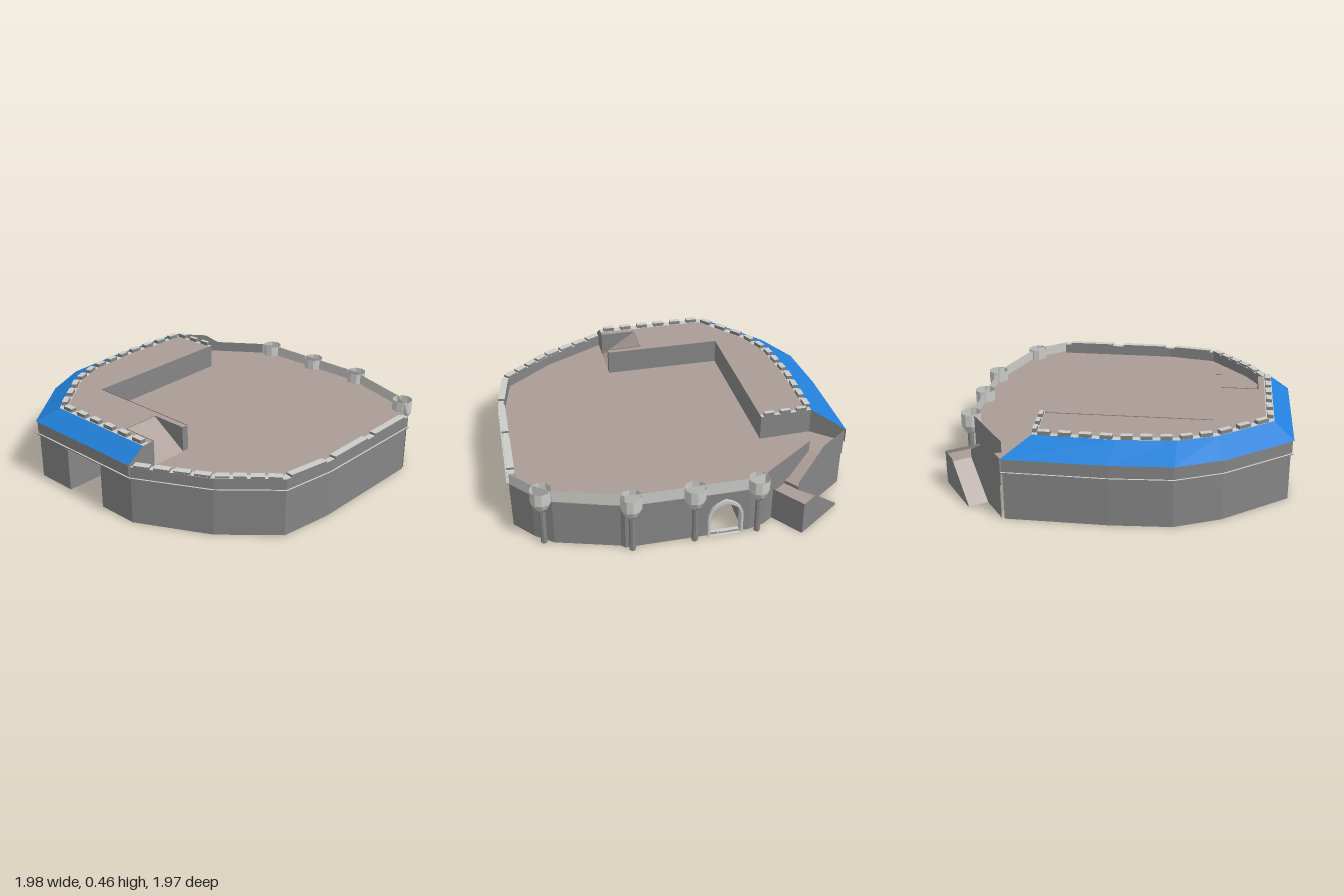
import * as THREE from 'three';

const mat = (name, color) => {
  const m = new THREE.MeshStandardMaterial({ color, side: THREE.DoubleSide });
  m.name = name;
  return m;
};

export function createModel() {
  const root = new THREE.Group();
  const stone = mat('stone', 0x858585);
  const light = mat('lightStone', 0xcbcbc8);
  const paving = mat('paving', 0xaa9c96);
  const blue = mat('blueRoof', 0x2180da);

  const add = (name, geo, m) => {
    const mesh = new THREE.Mesh(geo, m);
    mesh.name = name;
    root.add(mesh);
    return mesh;
  };
  // flat-shaded surface between two 3D polylines
  const loft = (name, a, b, m) => {
    const pos = [];
    for (let i = 0; i + 1 < a.length; i++) {
      pos.push(...a[i], ...a[i + 1], ...b[i + 1], ...a[i], ...b[i + 1], ...b[i]);
    }
    const g = new THREE.BufferGeometry();
    g.setAttribute('position', new THREE.Float32BufferAttribute(pos, 3));
    g.computeVertexNormals();
    return add(name, g, m);
  };
  const at = (pts, y, s = 1) => pts.map(([x, z]) => [x * s, y, z * s]);
  const wall = (name, pts, y0, y1, m, s = 1) => loft(name, at(pts, y0, s), at(pts, y1, s), m);
  // wall whose bottom and top vary: points are [x, z, y0, y1]
  const slopedWall = (name, pts, m) =>
    loft(name, pts.map((p) => [p[0], p[2], p[1]]), pts.map((p) => [p[0], p[3], p[1]]), m);
  // horizontal polygon
  const floor = (name, pts, y, m) => {
    const g = new THREE.ShapeGeometry(new THREE.Shape(pts.map(([x, z]) => new THREE.Vector2(x, -z))));
    g.rotateX(-Math.PI / 2).translate(0, y, 0);
    return add(name, g, m);
  };
  // row of merlons with light tops along a polyline
  const merlons = (pts, counts, y, h, thick, fill) => {
    counts.forEach((n, i) => {
      const [x0, z0] = pts[i], [x1, z1] = pts[i + 1];
      const len = Math.hypot(x1 - x0, z1 - z0);
      for (let k = 0; k < n; k++) {
        const t = (k + 0.5) / n;
        const m = add('merlon', new THREE.BoxGeometry((len / n) * fill, h, thick),
          [stone, stone, light, stone, stone, stone]);
        m.position.set(x0 + (x1 - x0) * t, y + h / 2, z0 + (z1 - z0) * t);
        m.rotation.y = -Math.atan2(z1 - z0, x1 - x0);
      }
    });
  };

  const DECK = 0.285, TOP = 0.435, EAVE = 0.36;
  // outline: left side to the front, then the right side to the back
  const leftEdge = [[-0.98, -0.57], [-0.99, 0], [-0.97, 0.35], [-0.855, 0.61], [-0.57, 0.98]];
  const frontEnd = [0.22, 0.98];
  const rightEdge = [frontEnd, [0.635, 0.77], [0.925, 0.515], [0.975, 0.2], [0.99, -0.55]];
  const rightInner = [[0.22, 0.93], [0.6, 0.725], [0.875, 0.5], [0.935, 0.2], [0.94, -0.55]];
  const edge = [...leftEdge, ...rightEdge];

  // stair frame: u runs along the back left wall, v runs inwards
  const P = (u, v) => [-0.58 - 0.814 * u + 0.581 * v, -0.99 + 0.581 * u + 0.814 * v];
  const backRight = [[0.975, -0.55], [0.87, -0.68], [0.77, -0.76], [0.42, -0.87], [0.4, -0.89]];
  const backLeft = [[-0.3, -0.89], P(-0.07, 0.21)];

  // outer lower walls, with the front passage left open
  wall('lowerWallLeft', [...leftEdge, [-0.315, 0.98]], 0, 0.28, stone, 0.985);
  wall('lowerWallRight', [[-0.03, 0.98], ...rightEdge], 0, 0.28, stone, 0.985);
  wall('lowerWallBack', [...backRight, [-0.055, -0.89]], 0, 0.28, stone);
  wall('lowerWallStair', [[-0.27, -0.89], ...backLeft, P(0.11, 0.21), P(0.11, 0.115), P(0.545, 0.115)],
    0, 0.2, stone);
  wall('stairWallUpper', [[-0.27, -0.89], ...backLeft, P(0.344, 0.21)], 0.2, 0.28, stone);

  // ledge and parapets
  loft('ledgeUnderside', at(edge, 0.27, 0.985), at(edge, 0.277), stone);
  wall('ledgeFace', edge, 0.277, 0.283, stone);
  loft('ledgeTop', at(edge, 0.283), at(edge, 0.285, 0.985), light);
  wall('parapetLeft', [...leftEdge, frontEnd], 0.28, EAVE, stone, 0.992);
  wall('parapetRight', rightEdge, 0.28, 0.347, stone, 0.992);
  wall('parapetRightInside', rightInner, DECK, 0.347, stone);
  loft('parapetRightTop', at(rightEdge, 0.347, 0.992), at(rightInner, 0.347), light);
  merlons(rightEdge.map((p, i) => [(p[0] * 0.992 + rightInner[i][0]) / 2, (p[1] * 0.992 + rightInner[i][1]) / 2]),
    [4, 4, 1, 2], 0.347, 0.013, 0.042, 0.8);
  wall('parapetBack', [...backRight, ...backLeft], 0.275, 0.35, light);
  wall('parapetStairInside', [P(-0.07, 0.21), P(0.344, 0.21)], 0.28, 0.35, stone);
  slopedWall('parapetStairOutside', [
    [...P(0.561, 0.115), 0.2, EAVE], [...P(0.344, 0.115), 0.2, EAVE], [...P(0.11, 0.115), 0.17, 0.23],
  ], stone);

  // back turrets on corbels with slim shafts
  for (const [x, z] of [[-0.345, -0.895], [0.015, -0.9], [0.365, -0.9], [0.825, -0.73]]) {
    const profile = [[0.018, 0], [0.018, 0.215]].map((p) => new THREE.Vector2(...p));
    const cap = [[0.018, 0.215], [0.04, 0.235], [0.06, 0.275], [0.06, 0.35]].map((p) => new THREE.Vector2(...p));
    const sz = z - 0.01;
    add('turretShaft', new THREE.LatheGeometry(profile, 8).toNonIndexed(), stone).position.set(x, 0, sz);
    add('turretCap', new THREE.LatheGeometry(cap, 10).toNonIndexed(), light).position.set(x, 0, z);
    const disc = add('turretFloor', new THREE.CircleGeometry(0.06, 10), paving);
    disc.rotation.x = -Math.PI / 2;
    disc.position.set(x, DECK + 0.002, z);
  }
  root.traverse((o) => {
    if (o.name.startsWith('turret')) o.geometry.computeVertexNormals();
  });

  // passage from the front to the arched gate
  const pw = [[[-0.31, 0.965], [-0.265, -0.89]], [[-0.03, 0.965], [-0.06, -0.89]]];
  pw.forEach((p) => wall('passageWall', p, 0, 0.275, stone));
  loft('passageCeiling', at(pw[0], 0.275), at(pw[1], 0.275), stone);

  const archPath = (C, r, spring, rise) => {
    const p = new C();
    p.moveTo(-r, 0);
    p.lineTo(-r, spring);
    p.quadraticCurveTo(-r, spring + rise * 0.72, 0, spring + rise);
    p.quadraticCurveTo(r, spring + rise * 0.72, r, spring);
    p.lineTo(r, 0);
    p.closePath();
    return p;
  };
  const gate = new THREE.Shape([[-0.108, 0], [0.108, 0], [0.108, 0.28], [-0.108, 0.28]]
    .map((p) => new THREE.Vector2(...p)));
  gate.holes.push(archPath(THREE.Path, 0.096, 0.12, 0.11));
  add('gateWall', new THREE.ExtrudeGeometry(gate, { depth: 0.02, bevelEnabled: false }), stone)
    .position.set(-0.162, 0, -0.89);
  const frame = archPath(THREE.Shape, 0.1, 0.12, 0.115);
  frame.holes.push(archPath(THREE.Path, 0.088, 0.12, 0.095));
  add('gateArch', new THREE.ExtrudeGeometry(frame, { depth: 0.055, bevelEnabled: false, curveSegments: 8 }), light)
    .position.set(-0.162, 0, -0.908);

  // main deck
  floor('deck', [
    [0.22, 0.97], [0.22, 0.53], [-0.5, 0.53], [-0.5, -0.44], [-0.81, -0.43], P(0.561, 0.115),
    P(0.344, 0.115), P(0.344, 0.21), P(-0.07, 0.21), [-0.3, -0.89], [0.4, -0.89],
    ...backRight.slice(0, 4).reverse(), ...rightEdge.slice(1, 4).reverse().map(([x, z]) => [x * 0.985, z * 0.985]),
  ], DECK, paving);

  // raised L-shaped platform with a ramp
  const roofInner = [[-0.81, -0.43], [-0.83, 0.03], [-0.8, 0.35], [-0.72, 0.56], [-0.48, 0.87], [0.22, 0.87]];
  floor('platform', [
    ...roofInner, [0.22, 0.79], [0, 0.79], [0, 0.57], [0.22, 0.57], [0.22, 0.53], [-0.5, 0.53], [-0.5, -0.44],
  ], TOP - 0.004, paving);
  slopedWall('platformWall', [
    [-0.98, -0.57, DECK, EAVE], [-0.81, -0.43, DECK, TOP], [-0.5, -0.44, DECK, TOP], [-0.5, 0.53, DECK, TOP],
    [0.22, 0.53, DECK, TOP], [0.22, 0.57, DECK, TOP], [0, 0.57, TOP - 0.004, TOP], [0, 0.79, TOP - 0.004, TOP],
    [0.22, 0.79, DECK, TOP], [0.22, 0.87, DECK, TOP], [0.22, 0.98, DECK, EAVE],
  ], stone);
  loft('platformRamp', [[0, TOP - 0.004, 0.57], [0.22, DECK, 0.57]],
    [[0, TOP - 0.004, 0.79], [0.22, DECK, 0.79]], paving);

  // sloping roof and the battlement above it
  loft('roof', at([...leftEdge, frontEnd], EAVE), at(roofInner, TOP), blue);
  const crestInner = [[-0.78, -0.41], [-0.79, 0.03], [-0.765, 0.34], [-0.685, 0.54], [-0.46, 0.825], [0.22, 0.825]];
  loft('crestTop', at(roofInner, TOP), at(crestInner, TOP), light);
  const crestMid = roofInner.map((p, i) => [(p[0] + crestInner[i][0]) / 2, (p[1] + crestInner[i][1]) / 2]);
  merlons(crestMid, [4, 3, 2, 3, 6], TOP, 0.022, 0.034, 0.6);
  const backCrest = [[-0.8, -0.42], [-0.5, -0.43]];
  loft('backCrestTop', at([[-0.81, -0.43], [-0.5, -0.44]], TOP), at([[-0.81, -0.405], [-0.5, -0.415]], TOP), light);
  merlons(backCrest, [3], TOP, 0.022, 0.024, 0.6);

  // two-flight outside stair at the back
  const q = (u, v, y) => { const [x, z] = P(u, v); return [x, y, z]; };
  loft('stairLanding', [q(0, 0, 0.18), q(0.11, 0, 0.18)], [q(0, 0.21, 0.18), q(0.11, 0.21, 0.18)], paving);
  loft('lowerRamp', [q(0.11, 0, 0.18), q(0.344, 0, 0)], [q(0.11, 0.115, 0.18), q(0.344, 0.115, 0)], paving);
  loft('upperRamp', [q(0.11, 0.115, 0.18), q(0.344, 0.115, DECK)],
    [q(0.11, 0.21, 0.18), q(0.344, 0.21, DECK)], paving);
  slopedWall('stairSide', [
    [...P(0, 0.21), 0, 0.2], [...P(0, 0), 0, 0.2], [...P(0.11, 0), 0, 0.2], [...P(0.344, 0), 0, 0.01],
  ], stone);
  return root;
}
